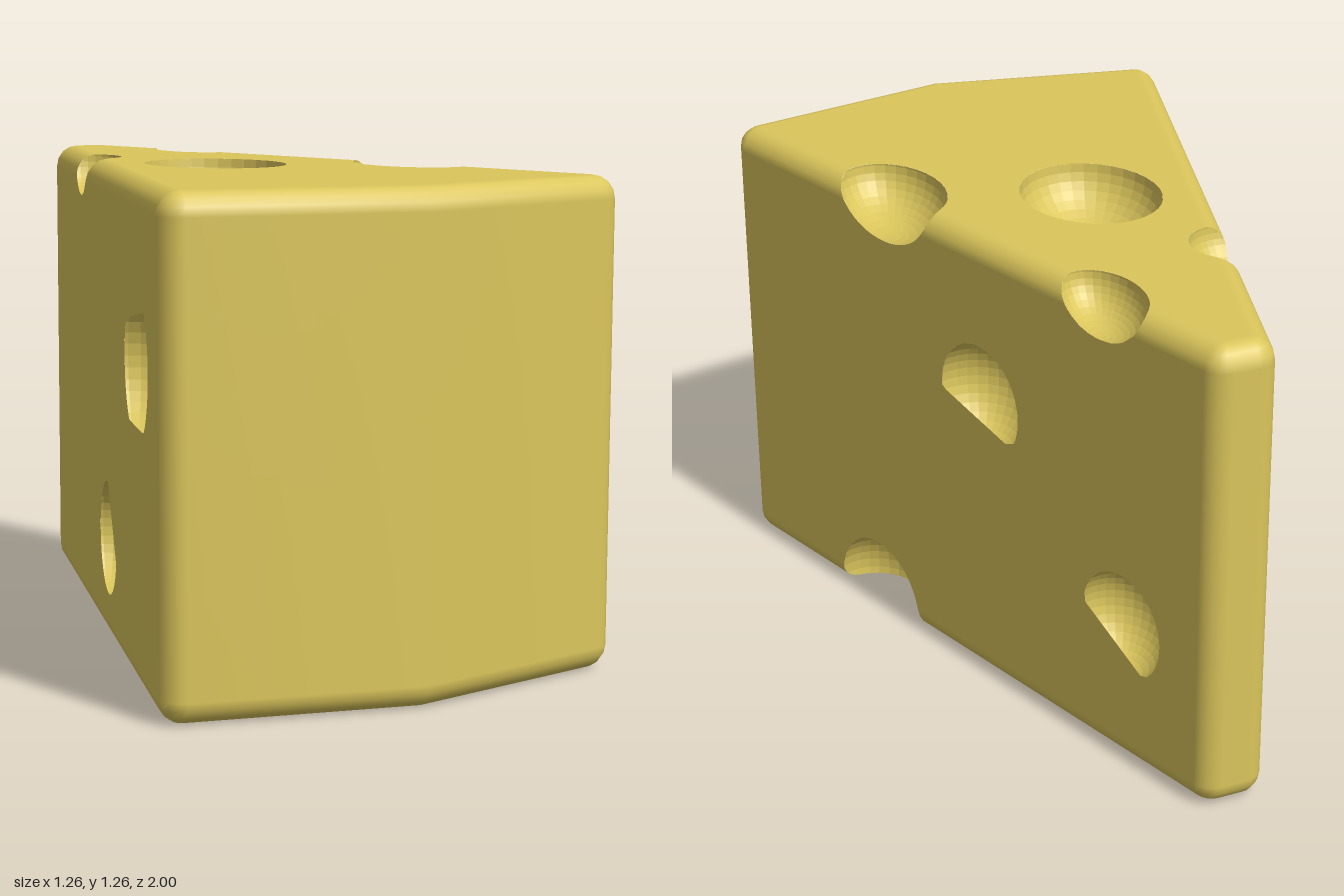
import * as THREE from 'three';

const H = 1.255, R = 0.06, V = (x, y, z) => new THREE.Vector3(x, y, z);

// Inset wedge outline (x, z): tip, front corner, front middle, front corner, tip
const outline = [[0.034, -0.94], [0.57, 0.82], [0, 0.94], [-0.57, 0.82], [-0.034, -0.94]];
const edges = outline.map((p, i) => {
  const q = outline[(i + 1) % outline.length];
  const a = V(p[0], 0, p[1]), b = V(q[0], 0, q[1]);
  const n = V(b.z - a.z, 0, a.x - b.x).normalize();
  return { a, b, n, n0: n.clone(), n1: n.clone() };
});
// The front is softly bowed, so its two halves share a normal in the middle
edges[1].n1.set(0, 0, 1);
edges[2].n0.set(0, 0, 1);

// Holes: centre, radii, and lids [z, y, slope, sign]: open only above (+1) or below (-1) that line
const holes = [
  { c: V(-0.06, 1.255, 0.005), r: V(0.18, 0.15, 0.215) },
  { c: V(0.41, 1.25, 0.23), r: V(0.14, 0.125, 0.2) },
  { c: V(0.18, 1.25, -0.595), r: V(0.1, 0.105, 0.155) },
  { c: V(-0.25, 1.25, -0.43), r: V(0.11, 0.1, 0.11) },
  { c: V(0.46, 0.02, 0.27), r: V(0.14, 0.18, 0.18) },
  { c: V(0.33, 0.81, -0.17), r: V(0.14, 0.155, 0.155), lids: [[-0.01, 0.8, 0.283, 1]] },
  { c: V(0.172, 0.39, -0.695), r: V(0.12, 0.145, 0.145), lids: [[-0.55, 0.41, 0.604, 1]] },
  { c: V(-0.54, 0.81, 0.52), r: V(0.16, 0.19, 0.19), lids: [[0.43, 0.66, 0, 1], [0.43, 0.917, 0.18, -1]] },
  { c: V(-0.395, 0.285, 0.04), r: V(0.13, 0.15, 0.15), lids: [[0.04, 0.433, -1.41, -1]] },
];

// Positive inside a hole's open part
function inHole(h, p) {
  let f = 1 - p.clone().sub(h.c).divide(h.r).length();
  for (const [z, y, slope, sign] of h.lids || []) f = Math.min(f, sign * (p.y - y - slope * (p.z - z)));
  return f;
}

// Positive inside the rounded wedge
function inWedge(p) {
  const a = Math.max(...edges.map(e => e.n.dot(V(p.x, 0, p.z).sub(e.a))));
  const b = Math.abs(p.y - H / 2) - (H / 2 - R);
  return R - Math.hypot(Math.max(a, 0), Math.max(b, 0)) - Math.min(Math.max(a, b), 0);
}

// Keep the parts of the triangles where field > 0
function clip(tris, field) {
  const out = [];
  const mix = (a, b, t) => ({ p: a.p.clone().lerp(b.p, t), n: a.n.clone().lerp(b.n, t).normalize() });
  for (const tri of tris) {
    const f = tri.map(v => field(v.p));
    if (f.every(x => x > 0)) { out.push(tri); continue; }
    if (f.every(x => x <= 0)) continue;
    const poly = [];
    tri.forEach((a, i) => {
      const j = (i + 1) % 3, b = tri[j];
      if (f[i] > 0) poly.push(a);
      if (f[i] > 0 !== f[j] > 0) {
        let lo = 0, hi = 1;
        for (let k = 0; k < 14; k++) {
          const m = (lo + hi) / 2;
          if (field(a.p.clone().lerp(b.p, m)) > 0 === f[i] > 0) lo = m; else hi = m;
        }
        poly.push(mix(a, b, lo));
      }
    });
    for (let k = 2; k < poly.length; k++) out.push([poly[0], poly[k - 1], poly[k]]);
  }
  return out;
}

function toGeometry(tris, flat) {
  const g = new THREE.BufferGeometry();
  const verts = tris.flat();
  g.setAttribute('position', new THREE.Float32BufferAttribute(verts.flatMap(v => v.p.toArray()), 3));
  if (flat) g.computeVertexNormals();
  else g.setAttribute('normal', new THREE.Float32BufferAttribute(verts.flatMap(v => v.n.toArray()), 3));
  return g;
}

// Wedge skin: the outline swept through cap, rounded edge, wall, rounded edge, cap
function wedgeTriangles() {
  const loop = [];
  edges.forEach((e, i) => {
    const steps = Math.max(2, Math.ceil(e.a.distanceTo(e.b) / 0.04));
    for (let k = 0; k <= steps; k++) {
      const t = k / steps;
      loop.push({ q: e.a.clone().lerp(e.b, t), n: e.n0.clone().lerp(e.n1, t).normalize() });
    }
    const next = edges[(i + 1) % edges.length];
    if (e.n1.distanceTo(next.n0) > 0.01) for (let k = 1; k < 4; k++) {
      loop.push({ q: e.b.clone(), n: e.n1.clone().lerp(next.n0, k / 4).normalize() });
    }
  });
  loop.push(loop[0]);

  const rows = []; // [scale from centre, outward, upward, y]
  const capSteps = 16, arcSteps = 4, wallSteps = 30;
  for (let k = 0; k < capSteps; k++) rows.push([k / capSteps, 0, -1, 0]);
  for (let k = 0; k <= arcSteps; k++) {
    const a = (k / arcSteps) * Math.PI / 2;
    rows.push([1, Math.sin(a), -Math.cos(a), R - R * Math.cos(a)]);
  }
  for (let k = 1; k < wallSteps; k++) rows.push([1, 1, 0, R + (H - 2 * R) * k / wallSteps]);
  for (let k = 0; k <= arcSteps; k++) {
    const a = (k / arcSteps) * Math.PI / 2;
    rows.push([1, Math.cos(a), Math.sin(a), H - R + R * Math.sin(a)]);
  }
  for (let k = capSteps - 1; k >= 0; k--) rows.push([k / capSteps, 0, 1, H]);

  const centre = V(0, 0, 0.2);
  const grid = rows.map(([s, o, u, y]) => loop.map(({ q, n }) => {
    const p = centre.clone().lerp(q, s).addScaledVector(n, R * o);
    p.y = y;
    return { p, n: V(n.x * o, u, n.z * o).normalize() };
  }));
  const tris = [];
  for (let r = 0; r + 1 < grid.length; r++) for (let i = 0; i + 1 < loop.length; i++) {
    const a = grid[r][i], b = grid[r][i + 1], c = grid[r + 1][i], d = grid[r + 1][i + 1];
    if (r > 0) tris.push([a, c, b]);
    if (r < grid.length - 2) tris.push([b, c, d]);
  }
  return tris;
}

// Inward-facing ellipsoid for one hole
function bowlTriangles(h) {
  const g = new THREE.SphereGeometry(1, 32, 20).toNonIndexed();
  const pos = g.attributes.position, tris = [];
  const at = i => {
    const p = V(0, 0, 0).fromBufferAttribute(pos, i);
    return { n: p.clone().negate(), p: p.multiply(h.r).add(h.c) };
  };
  for (let i = 0; i < pos.count; i += 3) tris.push([at(i), at(i + 2), at(i + 1)]);
  return tris;
}

export function createModel() {
  const group = new THREE.Group();
  group.name = 'cheeseWedge';
  const cheese = new THREE.MeshStandardMaterial({ color: 0xdbc65c });
  cheese.name = 'cheese yellow';

  // Wedge with the holes cut out of its skin
  let skin = wedgeTriangles();
  for (const h of holes) skin = clip(skin, p => -inHole(h, p));
  const wedge = new THREE.Mesh(toGeometry(skin, false), cheese);
  wedge.name = 'wedge';
  group.add(wedge);

  // Faceted bowls inside the holes
  for (const h of holes) {
    const bowl = new THREE.Mesh(toGeometry(clip(bowlTriangles(h), inWedge), true), cheese);
    bowl.name = 'holeBowl';
    group.add(bowl);
  }
  return group;
}
